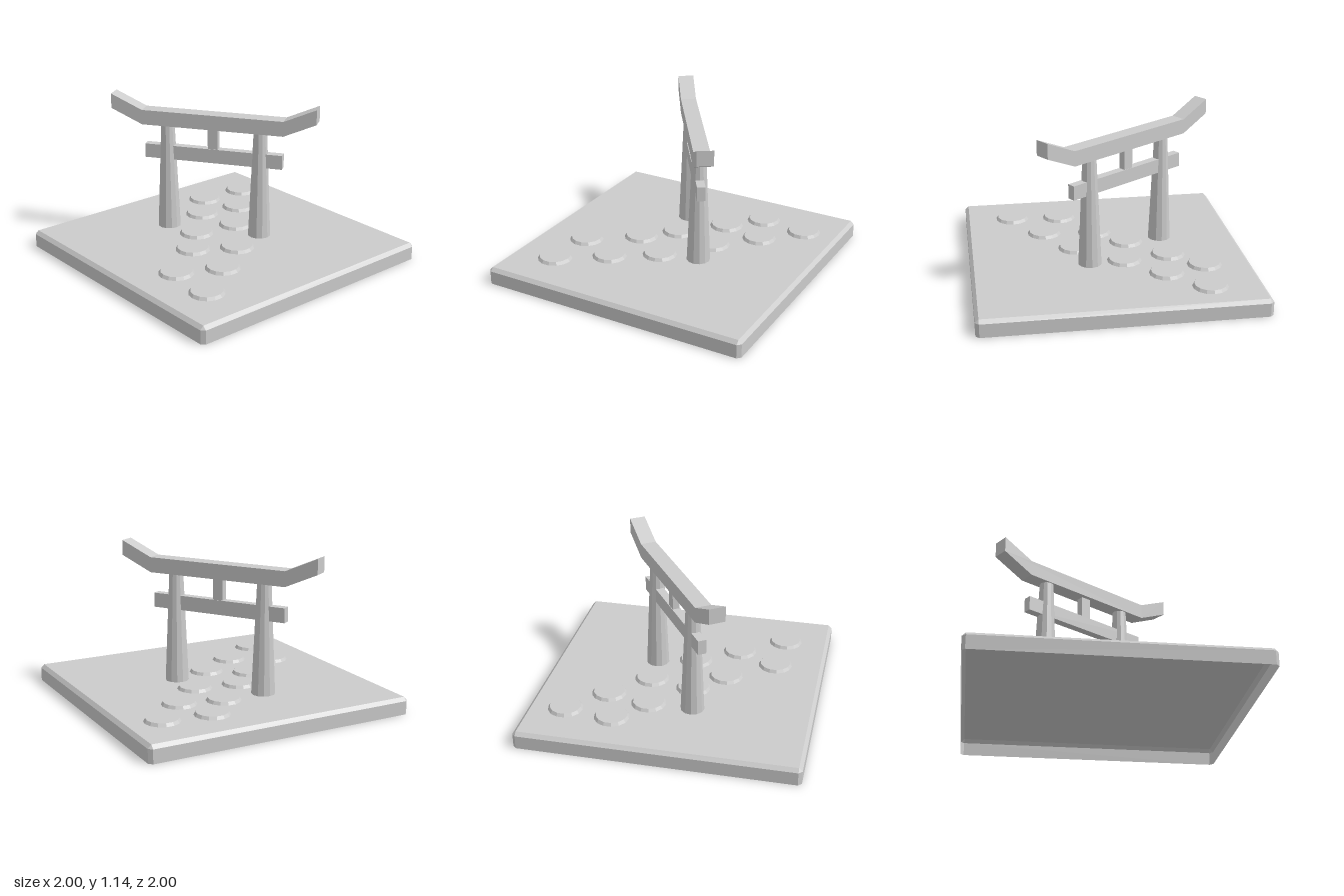
import * as THREE from 'three';

const material = new THREE.MeshStandardMaterial({ color: 0xcccccc, flatShading: true });
const openMaterial = new THREE.MeshStandardMaterial({ color: 0xcccccc, flatShading: true, side: THREE.DoubleSide });

function addMesh(parent, name, geometry, x = 0, y = 0, z = 0, mat = material) {
  const mesh = new THREE.Mesh(geometry, mat);
  mesh.name = name;
  mesh.position.set(x, y, z);
  parent.add(mesh);
  return mesh;
}

// Bevelled slab, open underneath: two octagonal rings closed by a square top
function slabGeometry(half, bevel, height) {
  const inner = half - bevel;
  const outline = [], top = [];
  for (const [sx, sz] of [[1, 1], [1, -1], [-1, -1], [-1, 1]]) {
    const a = [sx * inner, sz * half], b = [sx * half, sz * inner];
    outline.push(...(sx === sz ? [a, b] : [b, a]));
    top.push([sx * inner, sz * inner], [sx * inner, sz * inner]);
  }
  const rings = [[outline, 0], [outline, height - bevel], [top, height]];
  const positions = rings.flatMap(([ring, y]) => ring.flatMap(([x, z]) => [x, y, z]));
  const index = [];
  for (let r = 0; r < 2; r++) {
    for (let i = 0; i < 8; i++) {
      const j = (i + 1) % 8, a = r * 8 + i, b = r * 8 + j;
      index.push(a, b, b + 8);
      // the upper corners narrow to triangles
      if (r === 0 || i % 2 === 1) index.push(a, b + 8, a + 8);
    }
  }
  index.push(16, 18, 20, 16, 20, 22);
  const geometry = new THREE.BufferGeometry();
  geometry.setAttribute('position', new THREE.Float32BufferAttribute(positions, 3));
  geometry.setIndex(index);
  const flat = geometry.toNonIndexed();
  flat.computeVertexNormals();
  return flat;
}

// Top beam with upswept ends
function lintelGeometry(depth) {
  const lower = [[-0.767, 1.026], [-0.53, 0.92], [0.53, 0.92], [0.767, 1.026]];
  const upper = lower.map(([x, y]) => [x, y + 0.11]).reverse();
  const shape = new THREE.Shape([...lower, ...upper].map(([x, y]) => new THREE.Vector2(x, y)));
  return new THREE.ExtrudeGeometry(shape, { depth, bevelEnabled: false }).translate(0, 0, -depth / 2);
}

export function createModel() {
  const model = new THREE.Group();
  model.name = 'gateWithPath';
  const ground = 0.123;

  addMesh(model, 'base', slabGeometry(1, 0.025, ground), 0, 0, 0, openMaterial);

  // Stepping stones
  const stones = new THREE.Group();
  stones.name = 'steppingStones';
  model.add(stones);
  const stoneGeometry = new THREE.CylinderGeometry(0.112, 0.126, 0.022, 14);
  const places = [
    [-0.62, -0.73], [-0.66, -0.38], [-0.365, -0.48], [-0.435, -0.17],
    [-0.105, -0.225], [-0.17, 0.1], [0.22, 0.04], [0.04, 0.305],
    [0.42, 0.345], [0.275, 0.64], [0.64, 0.67],
  ];
  for (const [x, z] of places) addMesh(stones, 'steppingStone', stoneGeometry, x, ground + 0.011, z);

  // Gate, turned across the path
  const gate = new THREE.Group();
  gate.name = 'gate';
  gate.position.set(-0.143, 0, -0.045);
  gate.rotation.y = 0.59;
  model.add(gate);

  const postHeight = 0.93 - ground;
  const postGeometry = new THREE.CylinderGeometry(0.05, 0.085, postHeight, 12);
  for (const side of [-1, 1]) {
    addMesh(gate, side > 0 ? 'leftPost' : 'rightPost', postGeometry, side * 0.35, ground + postHeight / 2, 0);
  }
  addMesh(gate, 'topBeam', lintelGeometry(0.115));
  addMesh(gate, 'tieBeam', new THREE.BoxGeometry(1.038, 0.105, 0.06), 0, 0.712, 0);
  addMesh(gate, 'centreStrut', new THREE.BoxGeometry(0.075, 0.17, 0.052), 0, 0.845, 0);

  return model;
}
